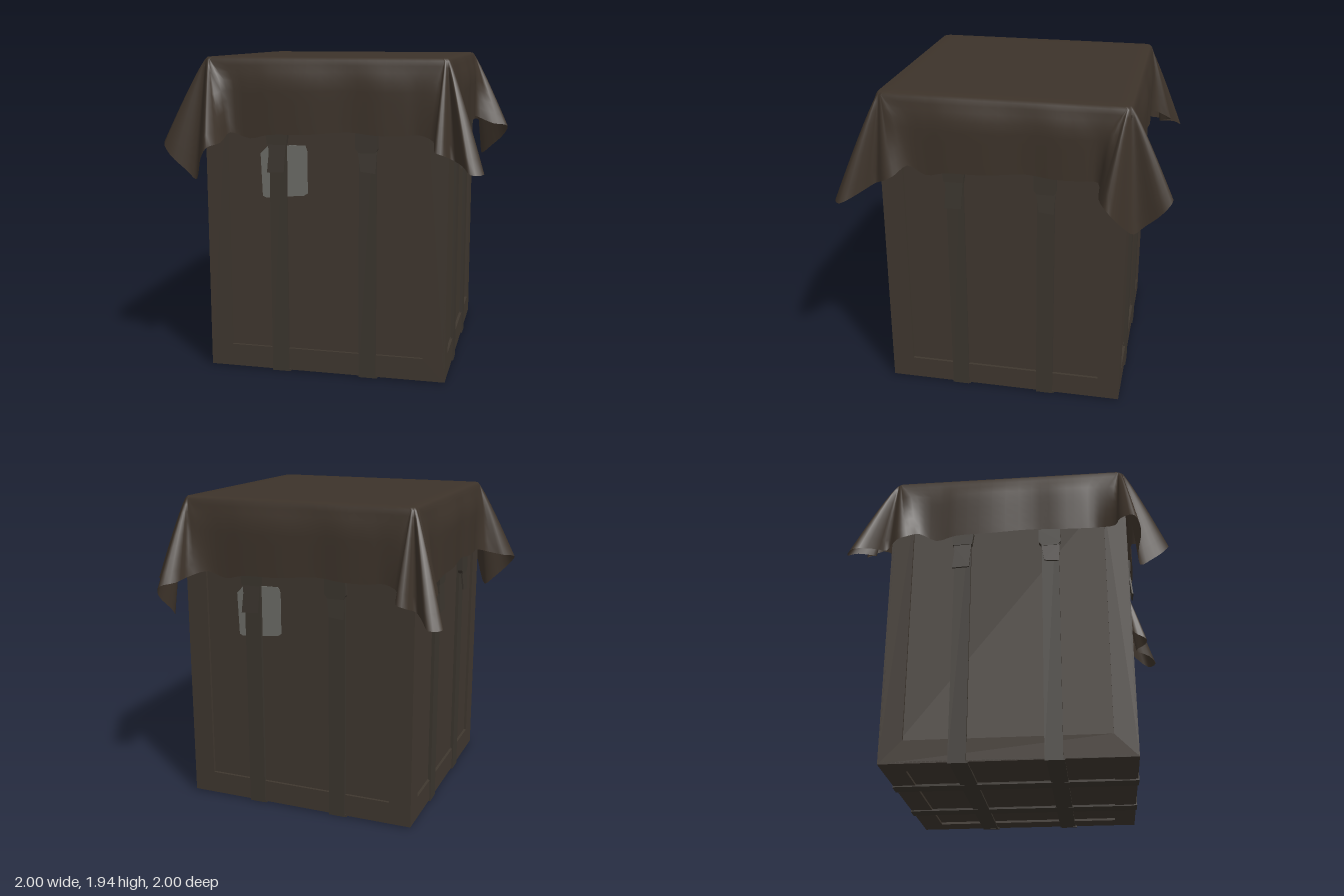
import * as THREE from 'three';

const mat = (name, color, side = THREE.FrontSide) => {
  const m = new THREE.MeshStandardMaterial({ color, side });
  m.name = name;
  return m;
};

function add(parent, name, geometry, material, x = 0, y = 0, z = 0) {
  const m = new THREE.Mesh(geometry, material);
  m.name = name;
  m.position.set(x, y, z);
  parent.add(m);
  return m;
}

const polygon = (pts) => new THREE.Shape(pts.map(([x, y]) => new THREE.Vector2(x, y)));
const plate = (shape, depth) => new THREE.ExtrudeGeometry(shape, { depth, bevelEnabled: false });
const rect = (x0, y0, x1, y1) => [[x0, y0], [x1, y0], [x1, y1], [x0, y1]];

// Rectangular frame plate with a window
function framePlate(outer, inner, depth) {
  const s = polygon(outer);
  s.holes.push(polygon(inner));
  return plate(s, depth);
}

// Hem [x, y, z] of a corner with two lobes and a low tip between them
const SPLIT_FOLD = [[-0.78, 1.5, 0.57], [-0.84, 1.47, 0.67], [-0.94, 1.45, 0.7], [-1.0, 1.43, 0.78],
  [-0.95, 1.36, 0.82], [-0.85, 1.26, 0.8], [-0.79, 1.21, 0.81], [-0.74, 1.27, 0.88], [-0.69, 1.36, 0.97],
  [-0.64, 1.43, 1.0], [-0.59, 1.45, 0.9], [-0.57, 1.5, 0.78]];
// Hem of a corner with one large lobe between two small ones
const CENTRE_FOLD = [[0.57, 1.51, 0.78], [0.66, 1.48, 0.82], [0.68, 1.43, 0.91], [0.73, 1.41, 0.9],
  [0.77, 1.38, 0.83], [0.84, 1.36, 0.93], [0.89, 1.32, 0.98], [0.96, 1.32, 0.93], [0.87, 1.37, 0.82],
  [0.8, 1.4, 0.76], [0.85, 1.44, 0.69], [0.84, 1.47, 0.63], [0.78, 1.52, 0.56]];
// The four corners from front-left round to the back: the split fold is mirrored, the other turned
const CORNERS = [
  SPLIT_FOLD,
  CENTRE_FOLD,
  SPLIT_FOLD.map(([x, y, z]) => [z, y, x]).reverse(),
  CENTRE_FOLD.map(([x, y, z]) => [-x, y, -z]),
];
// Hem along the straight sides [offset, y, distance out]
const SIDE_HEM = [[-0.45, 1.465, 0.775], [-0.33, 1.49, 0.785], [-0.1, 1.495, 0.79], [0.15, 1.515, 0.775],
  [0.32, 1.5, 0.785], [0.47, 1.5, 0.78]];

// Draped cover: rings running from the top centre out and down to the hem
function coverGeometry() {
  const hem = [], edge = [], weight = [];
  CORNERS.forEach((list, c) => {
    const sx = Math.sign(list[6][0]), sz = Math.sign(list[6][2]);
    list.forEach((p, j) => {
      const k = j / (list.length - 1), a = (c - 1 + k) * Math.PI / 2;
      hem.push(new THREE.Vector3(...p));
      edge.push(new THREE.Vector2(sx * 0.7 + 0.045 * Math.sin(a), sz * 0.705 + 0.045 * Math.cos(a)));
      weight.push(k === 0 || k === 1 ? 0.3 : 1);
    });
    const s = Math.sin(c * Math.PI / 2), co = Math.cos(c * Math.PI / 2);
    SIDE_HEM.forEach(([u, y, d]) => {
      hem.push(new THREE.Vector3(s * d + co * u, y, co * d - s * u));
      edge.push(new THREE.Vector2(s * 0.745 + co * u, co * 0.75 - s * u));
      weight.push(0);
    });
  });
  const count = hem.length, sub = 3, n = count * sub;
  const curve = new THREE.CatmullRomCurve3(hem, true);
  const pos = [0, 1.945, 0], index = [];
  const drape = [0, 0.07, 0.16, 0.28, 0.42, 0.56, 0.7, 0.85, 1];
  const rings = [0.5, 0.88, 0.985].map((scale) => ({ scale, t: 0, y: 1.945 }))
    .concat(drape.map((t) => ({ scale: 1, t, y: 1.93 })));
  rings.forEach(({ scale, t, y }) => {
    for (let i = 0; i < n; i++) {
      const a = Math.floor(i / sub), b = (a + 1) % count, k = (i % sub) / sub;
      const e = edge[a].clone().lerp(edge[b], k);
      const w = THREE.MathUtils.lerp(weight[a], weight[b], k);
      const h = curve.getPoint(i / n);
      const f = THREE.MathUtils.lerp(Math.min(1, t / 0.3), Math.pow(t, 0.9), w);
      pos.push((e.x + (h.x - e.x) * f) * scale, y + (h.y - y) * t, (e.y + (h.z - e.y) * f) * scale);
    }
  });
  for (let i = 0; i < n; i++) {
    const j = (i + 1) % n;
    index.push(0, 1 + i, 1 + j);
    for (let r = 0; r < rings.length - 1; r++) {
      const o = 1 + r * n, q = o + n;
      index.push(o + i, q + i, q + j, o + i, q + j, o + j);
    }
  }
  const g = new THREE.BufferGeometry();
  g.setAttribute('position', new THREE.Float32BufferAttribute(pos, 3));
  g.setIndex(index);
  g.computeVertexNormals();
  return g;
}

export function createModel() {
  const cloth = mat('cover cloth', 0x3d332a, THREE.DoubleSide);
  const crate = mat('crate brown', 0x3f372f);
  const strap = mat('strap webbing', 0x3b352e);
  const label = mat('label grey', 0x6c6c67);
  const model = new THREE.Group();
  model.name = 'coveredCrate';

  // Crate core with raised frames on the sides and the base
  add(model, 'crateCore', new THREE.BoxGeometry(1.45, 1.87, 1.45), crate, 0, 0.96, 0);
  const sideFrame = framePlate(rect(-0.742, 0.01, 0.742, 1.9), rect(-0.605, 0.15, 0.605, 1.76), 0.017);
  const baseFrame = framePlate(rect(-0.742, -0.742, 0.742, 0.742), rect(-0.605, -0.605, 0.605, 0.605), 0.016);
  add(model, 'baseFrame', baseFrame, crate, 0, 0.01, 0).rotation.x = -Math.PI / 2;

  // Straps, buckles and labels on each side
  const flapA = polygon([[-0.345, 1.26], [-0.24, 1.265], [-0.23, 1.43], [-0.34, 1.43], [-0.335, 1.38]]);
  const flapB = polygon([[0.228, 1.285], [0.318, 1.275], [0.325, 1.41], [0.208, 1.41]]);
  const buckleA = polygon([[-0.345, 1.43], [-0.225, 1.43], [-0.215, 1.51], [-0.355, 1.51]]);
  const buckleB = polygon([[0.215, 1.395], [0.315, 1.395], [0.33, 1.42], [0.328, 1.51], [0.195, 1.51], [0.195, 1.42]]);
  const labelShape = polygon([[-0.39, 1.11], [-0.37, 1.1], [-0.13, 1.12], [-0.107, 1.135], [-0.107, 1.39],
    [-0.12, 1.425], [-0.2, 1.425], [-0.355, 1.415], [-0.4, 1.37]]);
  for (let i = 0; i < 4; i++) {
    const side = new THREE.Group();
    side.name = ['frontSide', 'leftSide', 'backSide', 'rightSide'][i];
    side.rotation.y = i * Math.PI / 2;
    model.add(side);
    add(side, 'sideFrame', sideFrame, crate, 0, 0, 0.725);
    for (const x of [-0.285, 0.265]) {
      add(side, 'strap', new THREE.BoxGeometry(0.105, 1.85, 0.02), strap, x, 0.927, 0.739);
    }
    for (const s of [buckleA, buckleB]) add(side, 'buckle', plate(s, 0.03), strap, 0, 0, 0.742);
    for (const s of [flapA, flapB]) {
      const flap = add(side, 'strapEnd', plate(s, 0.01), strap, 0, 1.43, 0.757);
      flap.geometry.translate(0, -1.43, 0);
      flap.rotation.x = -0.08;
    }
    if (i % 2 === 0) add(side, 'label', plate(labelShape, 0.004), label, 0, 0, 0.725);
  }

  // Straps crossing under the base
  for (const x of [-0.275, 0.275]) {
    add(model, 'baseStrap', new THREE.BoxGeometry(0.105, 0.014, 1.49), strap, x, 0.009, 0);
    add(model, 'baseCrossStrap', new THREE.BoxGeometry(1.49, 0.014, 0.105), strap, 0, 0.01, x);
  }

  add(model, 'cover', coverGeometry(), cloth);
  return model;
}
